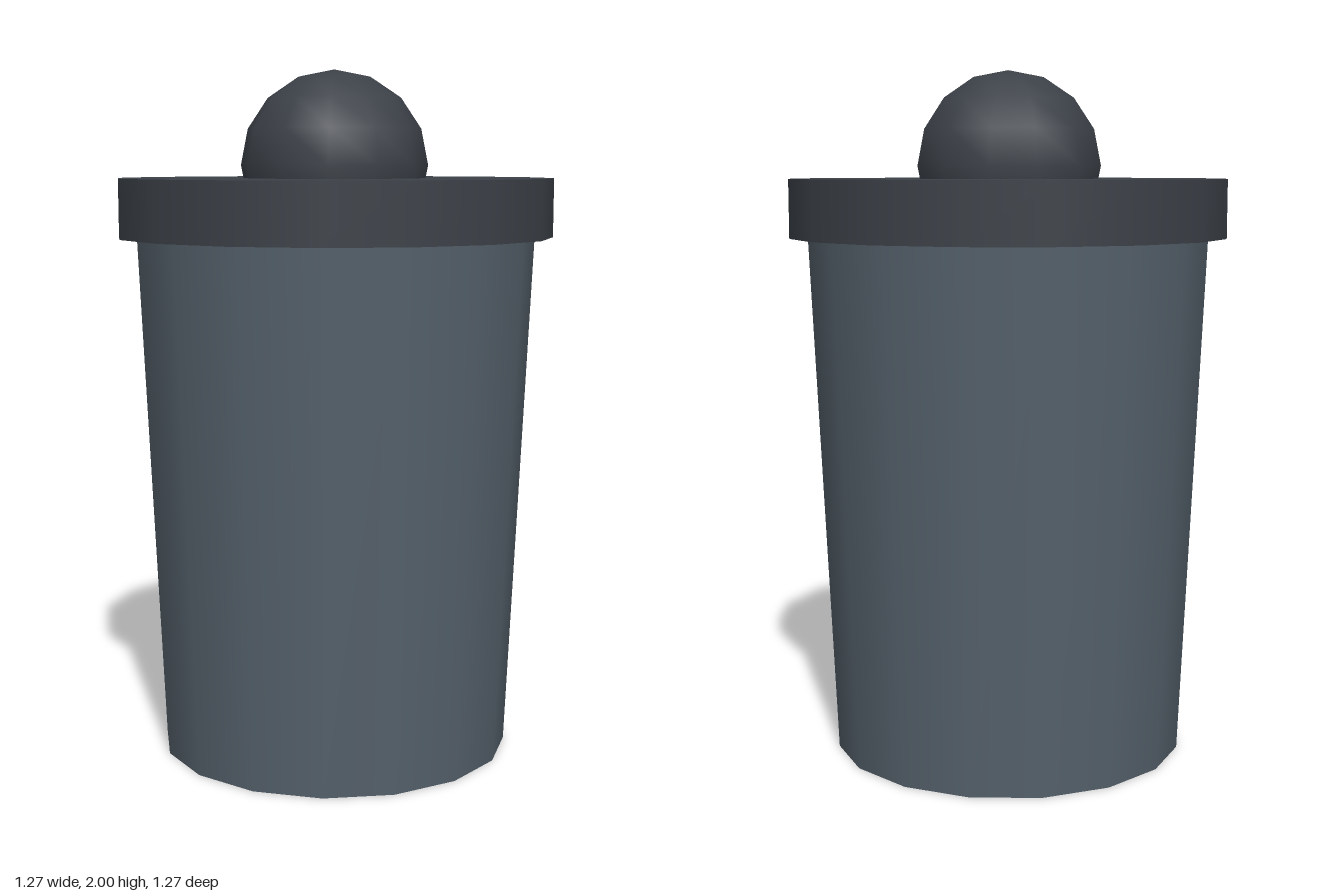
import * as THREE from 'three';

export function createModel() {
  const model = new THREE.Group();
  model.name = 'lidded bin';
  const bodyMaterial = new THREE.MeshStandardMaterial({ color: 0x55616b });
  const lidMaterial = new THREE.MeshStandardMaterial({ color: 0x3c4148 });

  const add = (name, geometry, material, y) => {
    const mesh = new THREE.Mesh(geometry, material);
    mesh.name = name;
    mesh.position.y = y;
    model.add(mesh);
  };

  // Tapered bin, its rim meeting the underside of the lid
  const lidBottom = 1.52, lidTop = 1.69;
  add('body', new THREE.CylinderGeometry(0.584, 0.516, lidBottom, 16), bodyMaterial, lidBottom / 2);

  // Overhanging flat lid
  add('lid', new THREE.CylinderGeometry(0.637, 0.637, lidTop - lidBottom, 16), lidMaterial, (lidTop + lidBottom) / 2);

  // Round knob sunk into the lid
  const knobRadius = 0.273;
  add('knob', new THREE.SphereGeometry(knobRadius, 12, 8), lidMaterial, 2 - knobRadius);

  return model;
}
